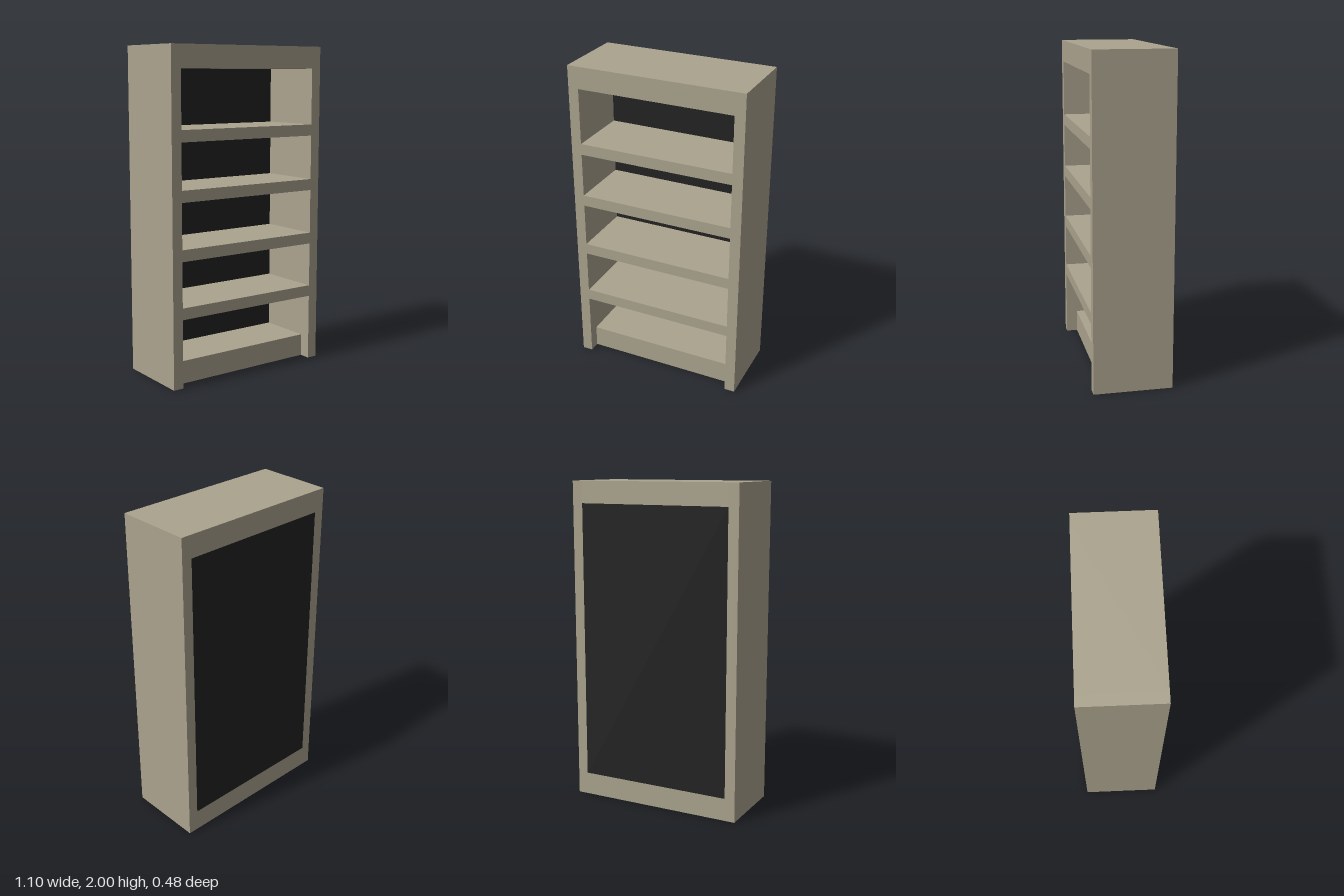
import * as THREE from 'three';

export function createModel() {
  const model = new THREE.Group();
  model.name = 'bookcase';

  const wood = new THREE.MeshStandardMaterial({ color: 0xaba38e, side: THREE.DoubleSide });
  wood.name = 'taupe paint';
  const dark = new THREE.MeshStandardMaterial({ color: 0x222222 });
  dark.name = 'black backing';

  const W = 0.55, IN = 0.485, D = 0.24, H = 2; // half width, half opening, half depth, height
  const BACK = -0.17, KICK = 0.17;             // backing front face, kickboard front face
  const FLOOR = 0.14, HEAD = 1.865, T = 0.008;

  // Box given by its limits on each axis
  function slab(name, material, [x0, x1], [y0, y1], [z0, z1]) {
    const geo = new THREE.BoxGeometry(x1 - x0, y1 - y0, z1 - z0);
    geo.translate((x0 + x1) / 2, (y0 + y1) / 2, (z0 + z1) / 2);
    const mesh = new THREE.Mesh(geo, material);
    mesh.name = name;
    model.add(mesh);
    return mesh;
  }

  // Hollow side posts, open underneath
  for (const [name, x] of [['leftSide', [IN, W]], ['rightSide', [-W, -IN]]]) {
    const geo = slab(name, wood, x, [0, H], [-D, D]).geometry;
    const index = Array.from(geo.index.array);
    index.splice(18, 6); // the bottom face
    geo.setIndex(index);
    geo.clearGroups();
  }

  const inner = [-IN, IN];

  // Top and shelves
  slab('top', wood, inner, [HEAD, H], [-D, D]);
  for (let i = 0; i < 4; i++) {
    const y = 0.415 + i * 0.345;
    slab('shelf' + (i + 1), wood, inner, [y, y + 0.07], [BACK, D]);
  }

  // Base: thin floor, recessed kickboard and rear rail around an open underside
  slab('floor', wood, inner, [FLOOR - T, FLOOR], [-D + T, KICK]);
  slab('kickboard', wood, inner, [0, FLOOR - T], [KICK - T, KICK]);
  slab('rearRail', wood, inner, [0, FLOOR], [-D, -D + T]);

  // Dark backing, flush with the rear
  slab('backPanel', dark, inner, [FLOOR, HEAD], [-D, BACK]);

  return model;
}
